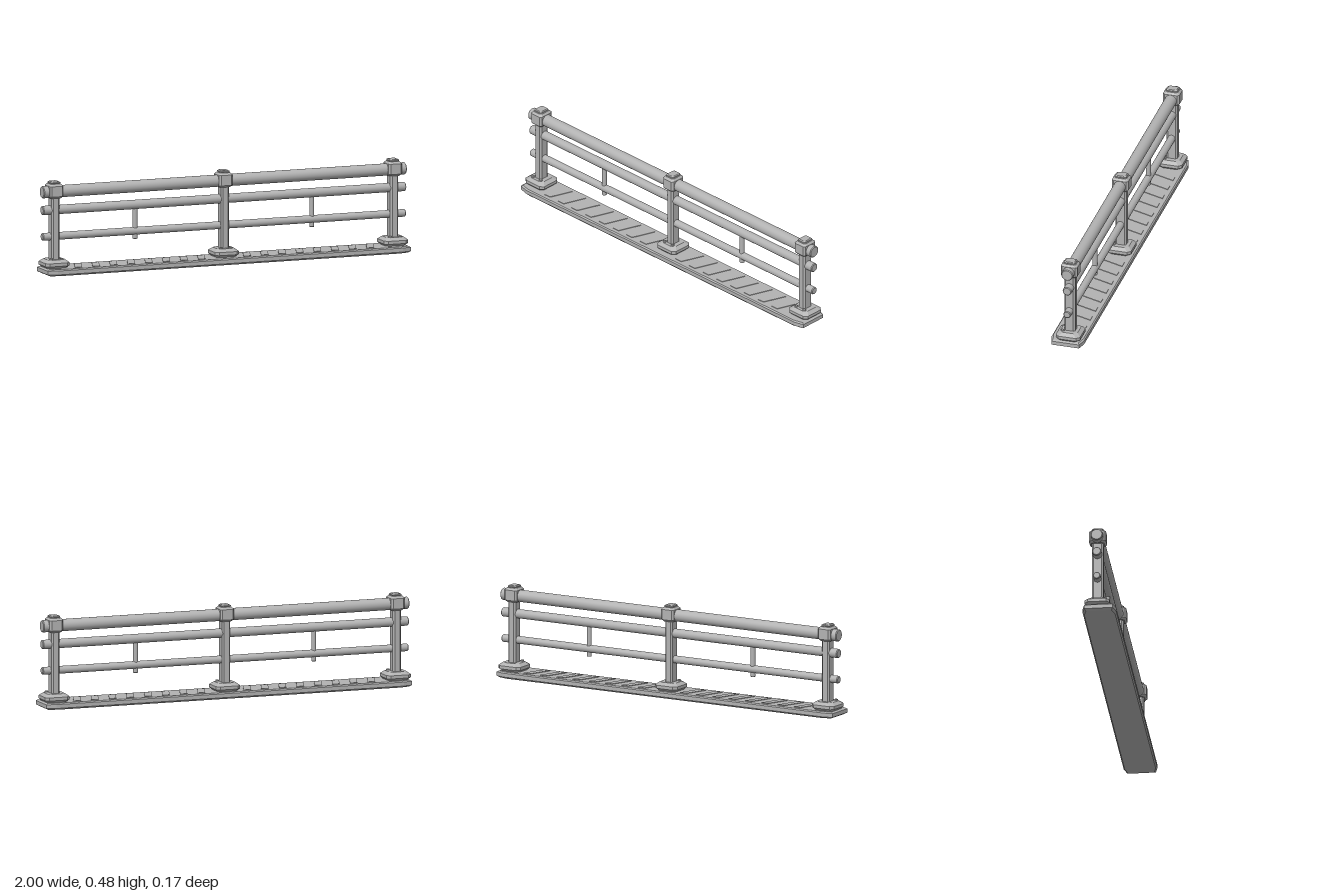
import * as THREE from 'three';

const grey = new THREE.MeshStandardMaterial({ color: 0xb2b2b2, flatShading: true });
grey.name = 'grey metal';
const smoothGrey = new THREE.MeshStandardMaterial({ color: 0xb2b2b2 });
smoothGrey.name = 'smooth grey metal';

const Z = -0.009; // depth of the posts and rails

// Solid from chamfered rectangles; each level is [y, halfX, halfZ], cx and cz cut the corners
function chamferedBlock(name, levels, cx, cz) {
  const pos = [];
  const rings = levels.map(([y, a, b]) => [
    [a, b - cz], [a - cx, b], [cx - a, b], [-a, b - cz],
    [-a, cz - b], [cx - a, -b], [a - cx, -b], [a, cz - b],
  ].map(([x, z]) => [x, y, z]));
  const tri = (...points) => points.forEach((p) => pos.push(...p));
  for (let r = 0; r < rings.length - 1; r++) {
    for (let i = 0; i < 8; i++) {
      const j = (i + 1) % 8, lo = rings[r], hi = rings[r + 1];
      tri(lo[i], hi[j], lo[j]);
      tri(lo[i], hi[i], hi[j]);
    }
  }
  const bottom = rings[0], top = rings[rings.length - 1];
  for (let i = 1; i < 7; i++) {
    tri(bottom[0], bottom[i], bottom[i + 1]);
    tri(top[0], top[i + 1], top[i]);
  }
  const geo = new THREE.BufferGeometry();
  geo.setAttribute('position', new THREE.Float32BufferAttribute(pos, 3));
  geo.computeVertexNormals();
  const mesh = new THREE.Mesh(geo, grey);
  mesh.name = name;
  return mesh;
}

// Round bar along y with bevelled ends, every section having its own normals
function roundBar(name, radius, length, bevel) {
  const bar = new THREE.Group();
  bar.name = name;
  const h = length / 2, r = radius - bevel;
  const sections = [
    [[0, -h], [r, -h]], [[r, -h], [radius, bevel - h]],
    [[radius, bevel - h], [radius, h - bevel]],
    [[radius, h - bevel], [r, h]], [[r, h], [0, h]],
  ];
  for (const s of sections) {
    const geo = new THREE.LatheGeometry(s.map(([x, y]) => new THREE.Vector2(x, y)), 28);
    const mesh = new THREE.Mesh(geo, smoothGrey);
    mesh.name = name + 'Section';
    bar.add(mesh);
  }
  return bar;
}

function createPost() {
  const post = new THREE.Group();
  post.name = 'post';
  post.add(
    chamferedBlock('foot', [[0.03, 0.05, 0.049], [0.046, 0.066, 0.064], [0.062, 0.066, 0.064], [0.077, 0.047, 0.046]], 0.018, 0.017),
    chamferedBlock('shaft', [[0.07, 0.022, 0.029], [0.4, 0.022, 0.029]], 0.008, 0.009),
    chamferedBlock('cap', [[0.392, 0.029, 0.034], [0.402, 0.037, 0.0435], [0.455, 0.037, 0.0435], [0.466, 0.028, 0.033]], 0.009, 0.01),
    chamferedBlock('capButton', [[0.465, 0.02, 0.025], [0.469, 0.025, 0.03], [0.473, 0.025, 0.03], [0.477, 0.02, 0.025]], 0.006, 0.007),
  );
  // Bolts on the front of the foot
  for (const x of [-0.028, 0.028]) {
    const bolt = roundBar('bolt', 0.009, 0.01, 0.002);
    bolt.position.set(x, 0.078, 0.034);
    post.add(bolt);
  }
  return post;
}

export function createModel() {
  const fence = new THREE.Group();
  fence.name = 'railing';

  // Long base slab
  fence.add(chamferedBlock('base', [[0, 0.985, 0.079], [0.008, 1, 0.086], [0.028, 1, 0.086], [0.034, 0.99, 0.08]], 0.05, 0.013));

  // Raised slanted treads between the feet
  const tread = new THREE.Shape([
    new THREE.Vector2(-0.042, -0.06), new THREE.Vector2(-0.002, -0.06),
    new THREE.Vector2(0.042, 0.06), new THREE.Vector2(0.002, 0.06),
  ]);
  const treadGeo = new THREE.ExtrudeGeometry(tread, { depth: 0.004, bevelEnabled: false });
  treadGeo.rotateX(-Math.PI / 2);
  for (const side of [-1, 1]) {
    for (let i = 0; i < 8; i++) {
      const mesh = new THREE.Mesh(treadGeo, grey);
      mesh.name = 'tread';
      mesh.position.set(side * (0.125 + i * 0.097), 0.033, 0);
      fence.add(mesh);
    }
  }

  // Three posts
  for (const x of [-0.933, 0, 0.933]) {
    const post = createPost();
    post.position.set(x, 0, Z);
    fence.add(post);
  }

  // Horizontal rails
  for (const [name, y, r] of [['topRail', 0.423, 0.031], ['middleRail', 0.329, 0.0235], ['lowerRail', 0.193, 0.0195]]) {
    const rail = roundBar(name, r, 2, 0.004);
    rail.rotation.z = Math.PI / 2;
    rail.position.set(0, y, Z);
    fence.add(rail);
  }

  // Short upright rods
  for (const x of [-0.487, 0.487]) {
    const rod = roundBar('uprightRod', 0.0125, 0.17, 0.002);
    rod.position.set(x, 0.238, Z);
    fence.add(rod);
  }
  return fence;
}
